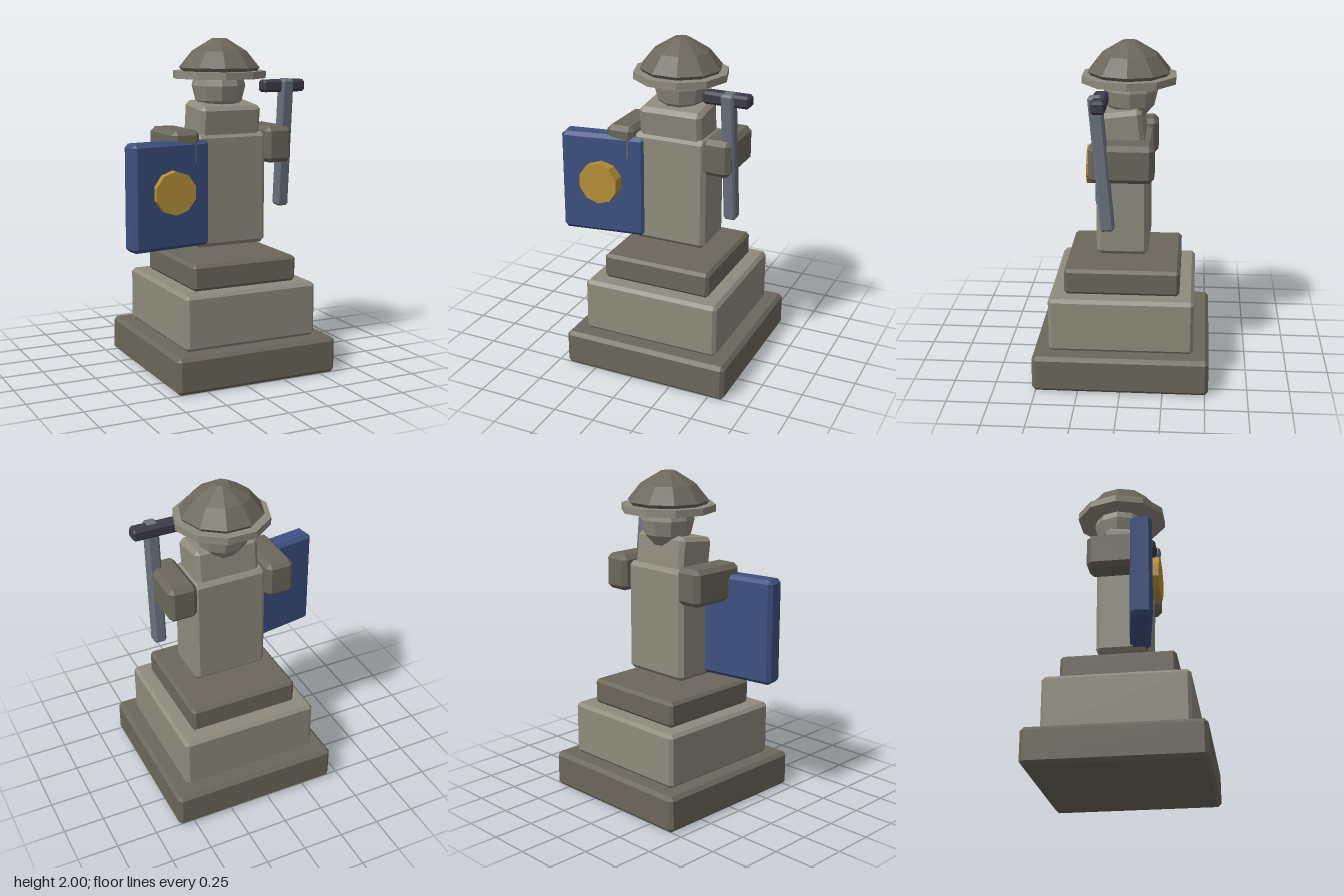
import * as THREE from 'three';
import { ConvexGeometry } from 'three/addons/geometries/ConvexGeometry.js';

const mat = (name, color) => {
  const m = new THREE.MeshStandardMaterial({ color });
  m.name = name;
  return m;
};

// Box with every edge and corner cut flat by c
function chamferBox(w, h, d, c) {
  const pts = [];
  for (const x of [-1, 1]) for (const y of [-1, 1]) for (const z of [-1, 1]) {
    const X = w / 2, Y = h / 2, Z = d / 2;
    pts.push(
      new THREE.Vector3(x * X, y * (Y - c), z * (Z - c)),
      new THREE.Vector3(x * (X - c), y * Y, z * (Z - c)),
      new THREE.Vector3(x * (X - c), y * (Y - c), z * Z));
  }
  return new ConvexGeometry(pts);
}

// Facet a geometry by giving each face its own normals
function faceted(geo) {
  const g = geo.index ? geo.toNonIndexed() : geo;
  g.computeVertexNormals();
  return g;
}

export function createModel() {
  const group = new THREE.Group();
  group.name = 'guardStatue';
  const darkStone = mat('dark stone', 0x6b675b);
  const lightStone = mat('light stone', 0x8f8b7d);
  const blue = mat('shield blue', 0x3d5080);
  const gold = mat('gold', 0xb38e38);
  const steel = mat('steel', 0x6a727e);
  const darkIron = mat('dark iron', 0x3d3b47);
  const cx = 0.08; // axis of the statue

  const add = (name, geo, material, pos, rot = [0, 0, 0]) => {
    const m = new THREE.Mesh(geo, material);
    m.name = name;
    m.position.set(...pos);
    m.rotation.set(...rot);
    group.add(m);
    return m;
  };

  // Stepped plinth
  add('plinthBase', chamferBox(1.04, 0.22, 1.04, 0.022), darkStone, [cx, 0.11, 0]);
  add('plinthMiddle', chamferBox(0.855, 0.33, 0.855, 0.02), lightStone, [cx, 0.385, 0]);
  add('plinthTop', chamferBox(0.68, 0.155, 0.68, 0.018), darkStone, [cx, 0.628, 0]);

  // Torso and forward-leaning chest
  add('body', chamferBox(0.46, 0.68, 0.305, 0.025), lightStone, [cx, 1.105, 0.003]);
  add('chest', chamferBox(0.395, 0.23, 0.26, 0.025), lightStone, [cx, 1.505, 0.015], [0.12, 0, 0]);

  // Arms
  for (const s of [-1, 1]) {
    add(s > 0 ? 'leftArm' : 'rightArm', chamferBox(0.175, 0.22, 0.372, 0.028), darkStone,
      [cx + s * 0.308, 1.365, 0]);
  }

  // Head
  const headGeo = new THREE.SphereGeometry(0.165, 10, 6);
  headGeo.scale(1, 1.08, 1);
  add('head', faceted(headGeo), lightStone, [cx, 1.72, -0.035]);

  // Helmet brim and dome
  const turn = Math.PI / 10;
  add('helmetBrim', faceted(new THREE.CylinderGeometry(0.284, 0.284, 0.043, 10)), lightStone,
    [cx, 1.786, -0.025], [0, turn, 0]);
  const profile = [[0, 1.8], [0.225, 1.8], [0.247, 1.828], [0.168, 1.925], [0.045, 2], [0, 2]]
    .map(([r, y]) => new THREE.Vector2(r, y));
  add('helmetDome', faceted(new THREE.LatheGeometry(profile, 10)), darkStone,
    [cx, 0, -0.025], [0, turn, 0]);

  // Shield with round boss
  add('shield', chamferBox(0.522, 0.63, 0.125, 0.022), blue, [-0.338, 1.1, 0.147], [0, 0.15, 0]);
  add('shieldBoss', faceted(new THREE.CylinderGeometry(0.128, 0.128, 0.077, 10)), gold,
    [-0.335, 1.125, 0.229], [Math.PI / 2, 0, 0]);

  // Sword held point down
  add('swordBlade', chamferBox(0.076, 0.785, 0.078, 0.012), steel, [0.45, 1.367, 0.11], [0.09, 0, 0.01]);
  add('swordGuard', chamferBox(0.285, 0.074, 0.084, 0.015), darkIron, [0.432, 1.717, 0.12]);

  return group;
}
